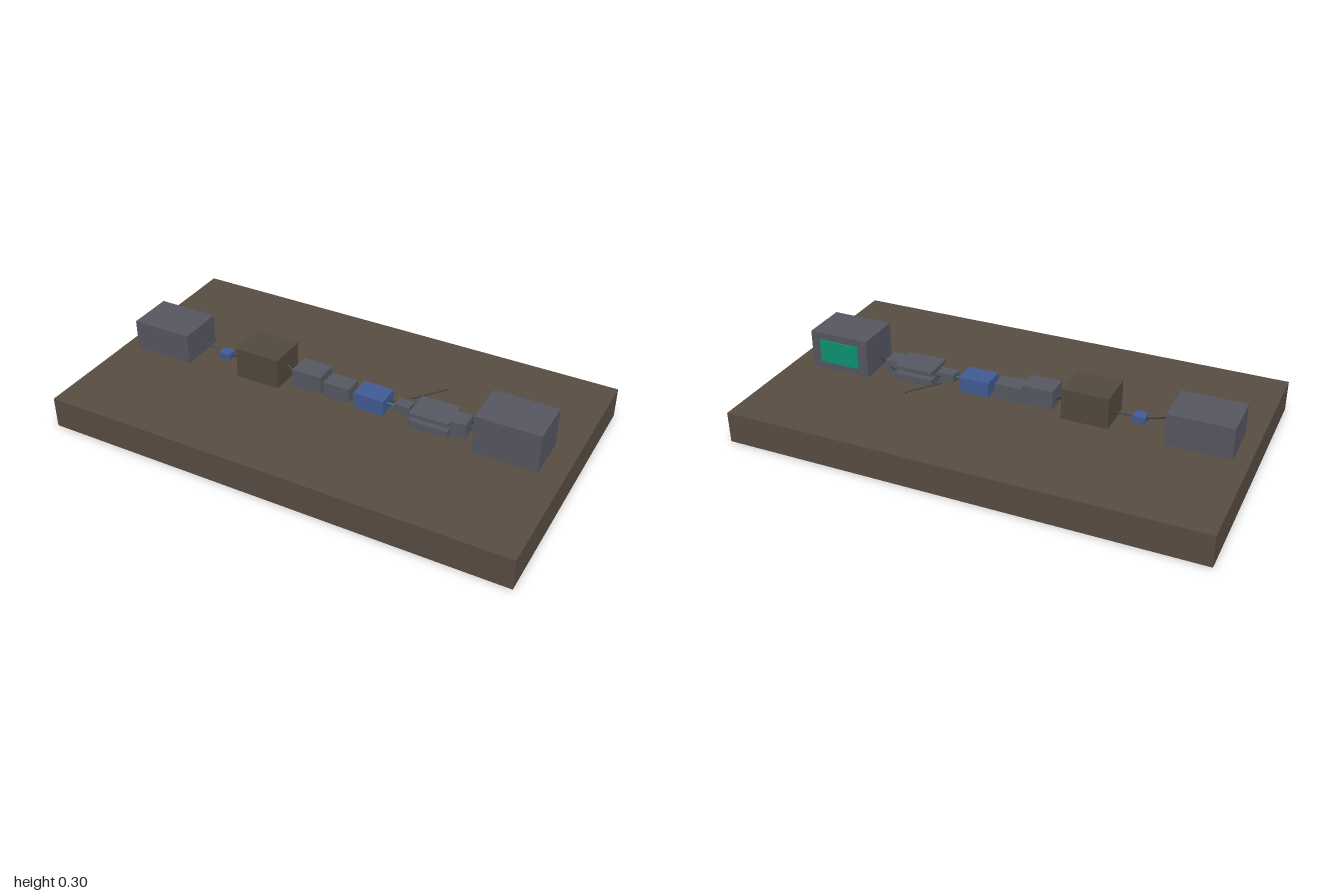
import * as THREE from 'three';

const paint = (name, color) => {
  const m = new THREE.MeshStandardMaterial({ color });
  m.name = name;
  return m;
};

export function createModel() {
  const group = new THREE.Group();
  const brown = paint('tableBrown', 0x5a4e43);
  const umber = paint('housingBrown', 0x544a3e);
  const grey = paint('casingGrey', 0x575762);
  const steel = paint('steelGrey', 0x565a62);
  const blue = paint('opticBlue', 0x435c96);
  const teal = paint('screenTeal', 0x0d9474);
  const dark = paint('cableDark', 0x33333a);

  // Box given by its extents along x and y, and its span along z
  const box = (name, mat, x0, x1, y0, y1, z0, z1) => {
    const mesh = new THREE.Mesh(new THREE.BoxGeometry(x1 - x0, y1 - y0, z1 - z0), mat);
    mesh.position.set((x0 + x1) / 2, (y0 + y1) / 2, (z0 + z1) / 2);
    mesh.name = name;
    group.add(mesh);
  };

  // Thin straight rod between two points
  const rod = (name, mat, a, b, r = 0.003) => {
    const start = new THREE.Vector3(...a);
    const end = new THREE.Vector3(...b);
    const dir = end.clone().sub(start);
    const mesh = new THREE.Mesh(new THREE.CylinderGeometry(r, r, dir.length(), 8), mat);
    mesh.position.copy(start).add(end).multiplyScalar(0.5);
    mesh.quaternion.setFromUnitVectors(new THREE.Vector3(0, 1, 0), dir.normalize());
    mesh.name = name;
    group.add(mesh);
  };

  const top = 0.133;
  box('tableSlab', brown, -1, 1, 0, top, -0.583, 0.583);

  // Row of bench units, from the source to the readout
  box('sourceUnit', grey, -0.933, -0.667, top, 0.267, -0.1, 0.1);
  box('smallOptic', blue, -0.563, -0.51, 0.153, 0.18, -0.025, 0.025);
  box('brownHousing', umber, -0.433, -0.235, top, 0.267, -0.083, 0.083);
  box('raisedUnit', steel, -0.185, -0.052, 0.142, 0.225, -0.05, 0.05);
  box('middleUnit', steel, -0.045, 0.072, top, 0.2, -0.04, 0.04);
  box('blueUnit', blue, 0.097, 0.23, top, 0.2, -0.05, 0.05);
  box('couplingBlock', steel, 0.267, 0.332, 0.15, 0.187, -0.025, 0.025);

  // Layered detector with a core between its plates
  box('detectorLowerPlate', steel, 0.35, 0.517, top, 0.165, -0.067, 0.067);
  box('detectorCore', steel, 0.36, 0.517, 0.165, 0.183, -0.04, 0.04);
  box('detectorUpperPlate', steel, 0.35, 0.517, 0.183, 0.2, -0.067, 0.067);
  box('detectorEnd', steel, 0.517, 0.58, top, 0.2, -0.04, 0.04);

  // Readout with a screen on its back
  box('readoutUnit', grey, 0.633, 0.9, top, 0.3, -0.1, 0.1);
  box('readoutScreen', teal, 0.675, 0.857, 0.167, 0.268, -0.106, -0.1);

  // Cables and links joining the units
  rod('sourceCable', dark, [-0.667, 0.2, 0], [-0.563, 0.167, 0]);
  rod('opticLink', dark, [-0.51, 0.167, 0], [-0.433, 0.167, 0]);
  rod('housingCable', dark, [-0.235, 0.2, 0], [-0.183, 0.165, 0]);
  rod('unitLink', dark, [-0.055, 0.167, 0], [-0.04, 0.167, 0]);
  rod('blueLink', dark, [0.07, 0.167, 0], [0.1, 0.167, 0]);
  rod('tealLink', teal, [0.23, 0.167, 0.003], [0.267, 0.167, 0.003]);
  rod('sideLink', dark, [0.23, 0.17, -0.015], [0.355, 0.17, -0.025]);
  rod('readoutCable', dark, [0.53, 0.167, -0.05], [0.635, 0.185, 0]);
  rod('looseRod', dark, [0.3, 0.167, -0.07], [0.4, 0.167, -0.2]);
  return group;
}
